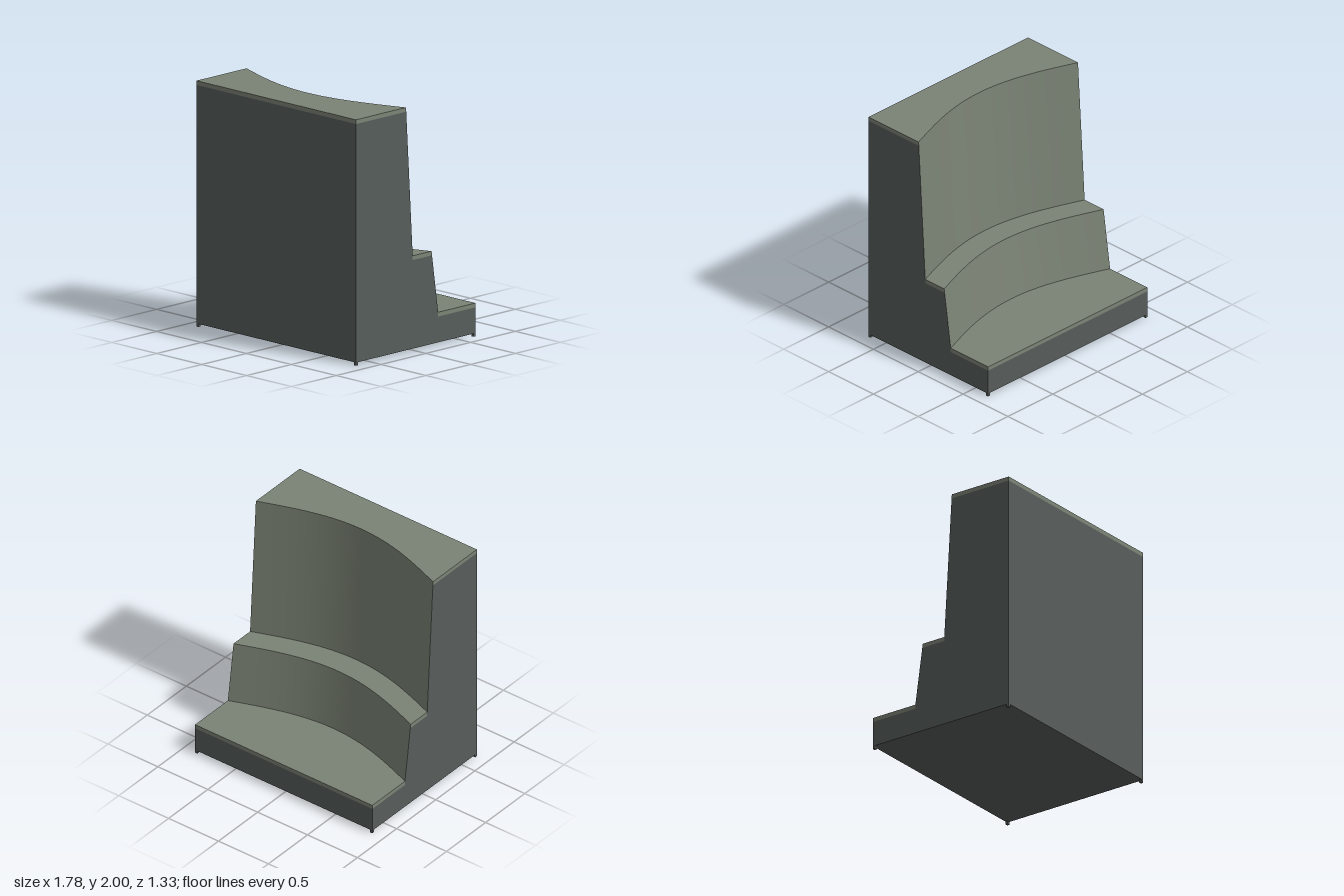
import * as THREE from 'three';

const W = 0.888, D = 0.667, BASE = 0.025, LIP = 0.035;
const SEGMENTS = 32, BOW = 0.215;

// The risers bow towards +z in the middle of the width
const bow = x => BOW * Math.cos((x / W) * Math.PI / 2);

// Ruled surface across the width between profile points a and b: [z, y, curved]
function sweep(a, b) {
  const pos = [], index = [];
  for (let i = 0; i <= SEGMENTS; i++) {
    const x = -W + (2 * W * i) / SEGMENTS;
    for (const [z, y, curved] of [a, b]) pos.push(x, y, z + (curved ? bow(x) : 0));
    if (i < SEGMENTS) {
      const k = 2 * i;
      index.push(k, k + 2, k + 1, k + 2, k + 3, k + 1);
    }
  }
  const g = new THREE.BufferGeometry();
  g.setAttribute('position', new THREE.Float32BufferAttribute(pos, 3));
  g.setIndex(index);
  g.computeVertexNormals();
  return g;
}

// Flat end wall from [z, y] points on the side x = s * W
function endWall(points, s) {
  const shape = new THREE.Shape(points.map(([z, y]) => new THREE.Vector2(-s * z, y)));
  const g = new THREE.ShapeGeometry(shape);
  g.rotateY(s * Math.PI / 2);
  g.translate(s * W, 0, 0);
  return g;
}

export function createModel() {
  const green = new THREE.MeshStandardMaterial({ color: 0x7b8375 });
  green.name = 'grey green';
  const slate = new THREE.MeshStandardMaterial({ color: 0x575d5b });
  slate.name = 'dark slate';
  const model = new THREE.Group();
  model.name = 'steppedBlock';
  const add = (name, geometry, material) => {
    const mesh = new THREE.Mesh(geometry, material);
    mesh.name = name;
    model.add(mesh);
  };

  // Profile corners from the tall front to the low back
  const top = 2, mid = 0.78, low = 0.27;
  const tallEdge = [0.108, top, true], tallFoot = [0.034, mid, true];
  const stepEdge = [-0.177, mid, true], stepFoot = [-0.25, low, true];
  const onRiser = (a, b, y) => [a[0] + (b[0] - a[0]) * (a[1] - y) / (a[1] - b[1]), y];

  // Faces running across the width
  add('frontWall', sweep([D, BASE], [D, top - LIP]), slate);
  add('frontLip', sweep([D, top - LIP], [D, top]), green);
  add('topSurface', sweep([D, top], tallEdge), green);
  add('tallRiser', sweep(tallEdge, tallFoot), green);
  add('middleTread', sweep(tallFoot, stepEdge), green);
  add('shortRiser', sweep(stepEdge, stepFoot), green);
  add('lowerTread', sweep(stepFoot, [-D, low]), green);
  add('backLip', sweep([-D, low], [-D, low - LIP]), green);
  add('backWall', sweep([-D, low - LIP], [-D, BASE]), slate);
  add('underside', sweep([-D, BASE], [D, BASE]), slate);

  // Side walls and their lips
  const tallCut = onRiser(tallEdge, tallFoot, top - LIP);
  const stepCut = onRiser(stepEdge, stepFoot, mid - LIP);
  const midIn = [tallFoot[0], mid - LIP], lowIn = [stepFoot[0], low - LIP];
  for (const s of [1, -1]) {
    const side = s > 0 ? 'left' : 'right';
    add(side + 'Wall', endWall([[D, BASE], [D, top - LIP], tallCut, tallFoot, midIn,
      stepCut, stepFoot, lowIn, [-D, low - LIP], [-D, BASE]], s), slate);
    add(side + 'TopLip', endWall([[D, top - LIP], [D, top], tallEdge, tallCut], s), green);
    add(side + 'MiddleLip', endWall([midIn, tallFoot, stepEdge, stepCut], s), green);
    add(side + 'LowerLip', endWall([lowIn, stepFoot, [-D, low], [-D, low - LIP]], s), green);

    // Small corner feet
    for (const f of [1, -1]) {
      const foot = new THREE.BoxGeometry(0.022, BASE, 0.022);
      foot.translate(s * (W - 0.011), BASE / 2, f * (D - 0.011));
      add(side + (f > 0 ? 'FrontFoot' : 'BackFoot'), foot, slate);
    }
  }
  return model;
}
